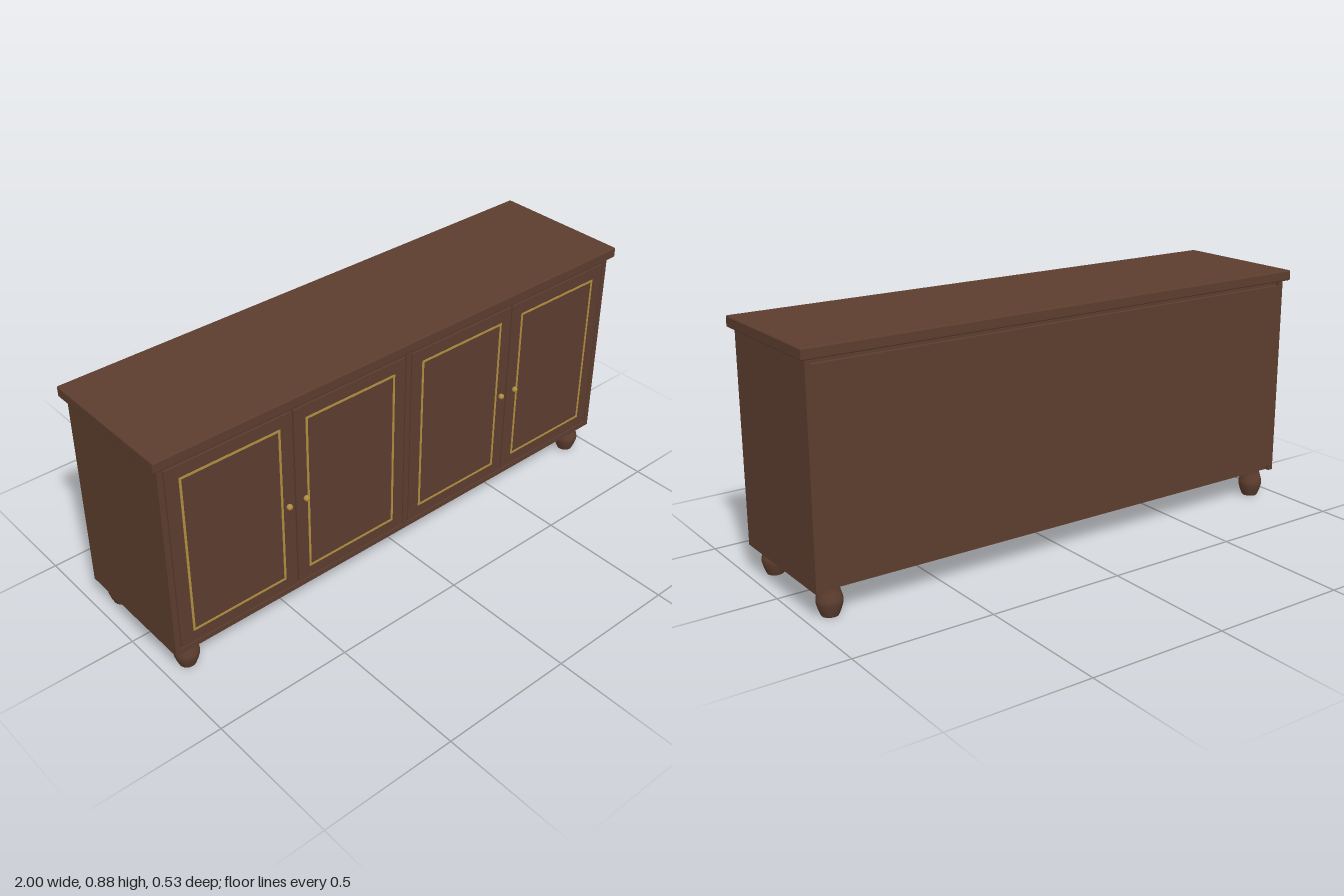
import * as THREE from 'three';
import { RoundedBoxGeometry } from 'three/addons/geometries/RoundedBoxGeometry.js';

const mat = (name, color) => Object.assign(new THREE.MeshStandardMaterial({ color }), { name });

export function createModel() {
  const wood = mat('dark walnut', 0x5c3d2e);
  const brass = mat('brass', 0xb08d3e);
  const model = new THREE.Group();
  model.name = 'sideboard';

  const add = (name, geometry, material, parent = model) => {
    const mesh = new THREE.Mesh(geometry, material);
    mesh.name = name;
    parent.add(mesh);
    return mesh;
  };
  // Box given by its limits on each axis
  const box = (name, [x0, x1], [y0, y1], [z0, z1], material = wood, parent = model) => {
    const mesh = add(name, new THREE.BoxGeometry(x1 - x0, y1 - y0, z1 - z0), material, parent);
    mesh.position.set((x0 + x1) / 2, (y0 + y1) / 2, (z0 + z1) / 2);
    return mesh;
  };

  const front = 0.243, back = -0.247;

  // Table top with softened edges
  add('top', new RoundedBoxGeometry(2, 0.038, 0.528, 2, 0.005), wood).position.set(0, 0.864, -0.002);

  // Carcass
  for (const s of [-1, 1]) {
    const x = s * 0.97;
    box(s > 0 ? 'leftSide' : 'rightSide', [x - 0.01, x + 0.01], [0.1, 0.845], [back, front]);
  }
  box('bottomPanel', [-0.96, 0.96], [0.1, 0.12], [back + 0.015, front]);
  box('topRail', [-0.96, 0.96], [0.826, 0.846], [back + 0.015, front]);
  box('backPanel', [-0.96, 0.96], [0.12, 0.826], [back, back + 0.015]);
  box('centreDivider', [-0.011, 0.011], [0.12, 0.826], [back + 0.015, front]);

  // Doors, each with a thin inlaid brass frame and a knob
  const knobGeo = new THREE.SphereGeometry(0.0105, 16, 12);
  const doors = [
    { x0: 0.015, x1: 0.481, knob: 0.448 },
    { x0: 0.487, x1: 0.956, knob: 0.518 },
  ];
  for (const s of [-1, 1]) {
    for (const { x0, x1, knob } of doors) {
      const door = new THREE.Group();
      door.name = 'door';
      model.add(door);
      const cx = s * (x0 + x1) / 2, half = (x1 - x0) / 2;
      box('doorPanel', [cx - half, cx + half], [0.124, 0.822], [front - 0.02, front], wood, door);

      const w = 0.187, y0 = 0.168, y1 = 0.777, t = 0.008;
      const z = [front - 0.001, front + 0.002];
      for (const y of [y0, y1 - t]) box('inlayRail', [cx - w, cx + w], [y, y + t], z, brass, door);
      for (const x of [cx - w, cx + w - t]) box('inlayStile', [x, x + t], [y0 + t, y1 - t], z, brass, door);

      add('knob', knobGeo, brass, door).position.set(s * knob, 0.472, 0.2555);
    }
  }

  // Turned bun feet
  const profile = [
    [0, 0], [0.029, 0], [0.029, 0.0001], [0.037, 0.02], [0.043, 0.04], [0.044, 0.05],
    [0.043, 0.06], [0.037, 0.08], [0.034, 0.092], [0.034, 0.1],
  ].map(([r, y]) => new THREE.Vector2(r, y));
  const footGeo = new THREE.LatheGeometry(profile, 20);
  for (const x of [-0.913, 0.913]) {
    for (const z of [-0.198, 0.195]) add('foot', footGeo, wood).position.set(x, 0, z);
  }

  return model;
}
